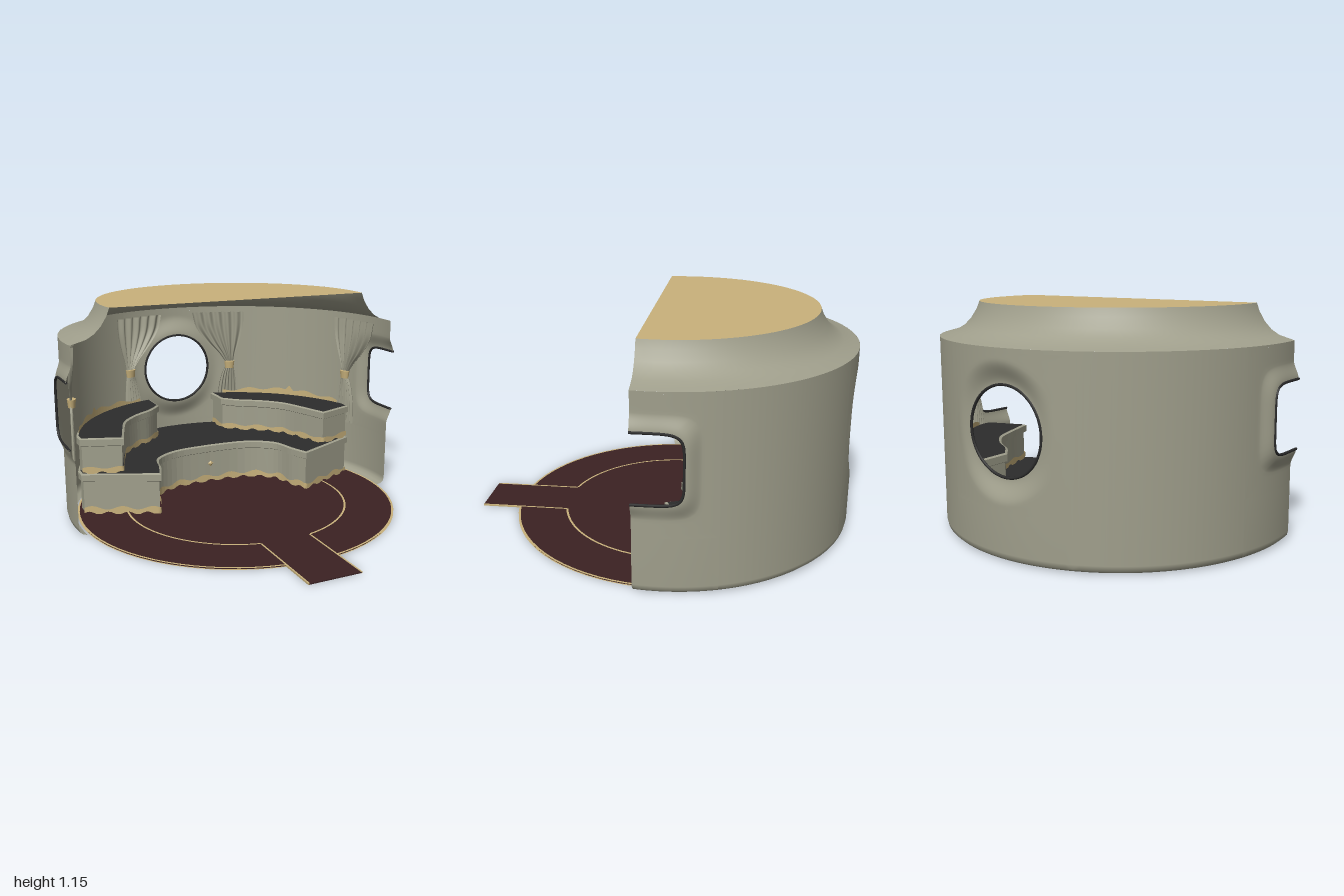
import * as THREE from 'three';

const ZC = -0.07, R = 0.93, CUT = 0.11; // room axis, wall radius, cut plane distance past the axis
const std = (name, color, side = THREE.DoubleSide) =>
  Object.assign(new THREE.MeshStandardMaterial({ color, side }), { name });

// point at angle a around the room (0 = back, PI/2 = left side)
const polar = (a, r, y) => new THREE.Vector3(r * Math.sin(a), y, ZC - r * Math.cos(a));
const cutAngle = r => Math.PI / 2 + Math.asin(CUT / r);
const smooth = t => t * t * (3 - 2 * t);

// surface from a rule fn(u, v) -> Vector3, with u and v in 0..1
function grid(nu, nv, fn) {
  const pos = [], idx = [];
  for (let j = 0; j <= nv; j++)
    for (let i = 0; i <= nu; i++) pos.push(...fn(i / nu, j / nv).toArray());
  for (let j = 0; j < nv; j++)
    for (let i = 0; i < nu; i++) {
      const a = j * (nu + 1) + i, b = a + nu + 1;
      idx.push(a, a + 1, b + 1, a, b + 1, b);
    }
  const g = new THREE.BufferGeometry();
  g.setAttribute('position', new THREE.Float32BufferAttribute(pos, 3));
  g.setIndex(idx);
  g.computeVertexNormals();
  return g;
}

// mirrored copy across x with the corner order restored
function mirrored(geo) {
  const g = geo.clone().scale(-1, 1, 1);
  if (!g.index) g.setIndex([...Array(g.attributes.position.count).keys()]);
  const ix = g.index.array;
  for (let i = 0; i < ix.length; i += 3) [ix[i], ix[i + 2]] = [ix[i + 2], ix[i]];
  return g;
}

// evenly subdivided polyline
function subdivide(pts, n) {
  const out = [];
  for (let k = 0; k < pts.length - 1; k++)
    for (let i = 0; i < n; i++) out.push(pts[k].clone().lerp(pts[k + 1], i / n));
  out.push(pts.at(-1).clone());
  return out;
}
const V2 = (x, y) => new THREE.Vector2(x, y);
const spline = (pts, n) => new THREE.SplineCurve(pts.map(p => V2(...p))).getPoints(n);

export function createModel() {
  const root = new THREE.Group();
  root.name = 'roundRoom';
  const wall = std('stoneGrey', 0xa09f8c), gold = std('gold', 0xc9b27c);
  const red = std('darkRed', 0x3b2223), dark = std('charcoal', 0x2c2c2c);

  const add = (name, geo, mat, both = false) => {
    const m = new THREE.Mesh(geo, mat);
    m.name = name;
    root.add(m);
    if (both) add(name + 'Mirror', mirrored(geo), mat);
  };

  // ---- floor with gold lines and aisle
  add('floor', new THREE.CylinderGeometry(0.87, 0.87, 0.006, 64).translate(0, 0.004, ZC), red);
  add('aisle', new THREE.BoxGeometry(0.28, 0.006, 0.6).translate(0, 0.004, 0.7), red);
  for (const r of [0.61, 0.87]) {
    const gap = Math.asin(0.14 / r);
    for (const y of [0, 0.0085])
      add('floorLine', new THREE.RingGeometry(r - 0.006, r + 0.005, 72, 1, -Math.PI / 2 + gap, 2 * Math.PI - 2 * gap)
        .rotateX(-Math.PI / 2).translate(0, y, ZC), gold);
  }
  add('aisleLine', new THREE.BoxGeometry(0.008, 0.0085, 0.475).translate(0.138, 0.0043, 0.7625), gold, true);

  // ---- wall panels between the windows
  const base = [[0.885, 0], [0.91, 0.008], [0.925, 0.022], [R, 0.045]];
  const panel = (a1, a2, y1, y2, both) => {
    const prof = (y1 === 0 ? base : [[R, y1]]).concat([[R, y2]]);
    const n = prof.length - 1;
    add('wall', grid(Math.ceil((a2 - a1) * 30), n, (u, v) => {
      const [r, y] = prof[Math.round(v * n)];
      return polar(a1 + (a2 - a1) * u, r, y);
    }), wall, both);
  };
  const TOP = 0.98, aBack = 0.36 / R, aEnd = cutAngle(R), aSide = Math.PI / 2 + (CUT - 0.4) / R;
  panel(aBack, aSide, 0, TOP, true);
  panel(-aBack, aBack, 0, 0.24);
  panel(-aBack, aBack, 0.96, TOP);
  panel(aSide, aEnd, 0, 0.29, true);
  panel(aSide, aEnd, 0.97, TOP, true);

  // ---- windows: the wall blends into a flat rim around each opening
  function windowPatch(name, { a0, uc, yc, W, H, hole, frame, n, depth, half }) {
    const edge = subdivide(half
      ? [V2(0, -H), V2(-W, -H), V2(-W, H), V2(0, H)]
      : [V2(W, 0), V2(W, H), V2(-W, H), V2(-W, -H), V2(W, -H), V2(W, 0)], 16);
    const along = (p, [w, h]) => {
      const d = p.clone().normalize();
      return d.multiplyScalar((Math.abs(d.x / w) ** n + Math.abs(d.y / h) ** n) ** (-1 / n));
    };
    const T = new THREE.Vector3(Math.cos(a0), 0, Math.sin(a0));
    const N = new THREE.Vector3(Math.sin(a0), 0, -Math.cos(a0));
    const place = (q, flat) => {
      const u = uc + q.x, y = yc + q.y;
      const plane = new THREE.Vector3(0, y, ZC).addScaledVector(T, u).addScaledVector(N, depth);
      return polar(a0 + u / R, R, y).lerp(plane, flat);
    };
    const rows = 14, m = edge.length - 1;
    add(name + 'Surround', grid(m, rows, (u, v) => {
      const p = edge[Math.round(u * m)], s = Math.min(1, v / 0.75);
      const q = along(p, hole).lerp(along(p, frame), s);
      if (v > 0.75) q.lerp(p, (v - 0.75) / 0.25);
      return place(q, 1 - smooth(s));
    }), wall, half);
    const rim = new THREE.CatmullRomCurve3(edge.map(p => place(along(p, hole), 1)));
    add(name + 'Rim', new THREE.TubeGeometry(rim, 120, 0.007, 6), dark, half);
  }
  windowPatch('backWindow', { a0: 0, uc: 0, yc: 0.6, W: 0.36, H: 0.36, hole: [0.212, 0.212],
    frame: [0.33, 0.33], n: 2, depth: 0.89, half: false });
  windowPatch('sideWindow', { a0: Math.PI / 2, uc: CUT, yc: 0.63, W: 0.4, H: 0.34, hole: [0.24, 0.17],
    frame: [0.32, 0.255], n: 6, depth: 0.95, half: true });

  // ---- coved roof and flat ceiling
  const cove = [[R, 0.98], [0.9, 0.988], [0.85, 1.002], [0.81, 1.026], [0.775, 1.062], [0.745, 1.11], [0.73, 1.15]];
  add('roofCove', grid(64, 6, (u, v) => {
    const [r, y] = cove[Math.round(v * 6)];
    return polar((2 * u - 1) * cutAngle(r), r, y);
  }), wall);
  const ext = Math.asin(CUT / 0.73);
  const disc = new THREE.Shape().absarc(0, 0, 0.73, -ext, Math.PI + ext, false);
  add('ceiling', new THREE.ShapeGeometry(disc, 48).rotateX(-Math.PI / 2).translate(0, 1.15, ZC), gold);

  // ---- stepped platforms; outlines use (x, -z)
  const BACK = 0.85;
  const backArc = (x1, x2) => {
    const t1 = Math.acos(x1 / BACK), t2 = Math.acos(x2 / BACK);
    return Array.from({ length: 25 }, (_, i) => {
      const t = t1 + (t2 - t1) * i / 24;
      return V2(BACK * Math.cos(t), -ZC + BACK * Math.sin(t));
    });
  };
  function platform(name, front, back, y0, y1, wave, both) {
    const shape = new THREE.Shape([...back, ...front]);
    const solid = (depth, y, bevel) => new THREE.ExtrudeGeometry(shape, {
      depth, bevelEnabled: bevel, bevelSize: 0.012, bevelThickness: 0.006, bevelSegments: 1,
    }).rotateX(-Math.PI / 2).translate(0, y, 0);
    add(name + 'Body', solid(y1 - y0 - 0.045, y0, false), wall, both);
    add(name + 'Cornice', solid(0.035, y1 - 0.041, true), [dark, wall], both);
    // scalloped gold fringe along the foot
    const pts = subdivide(front, 4), n = pts.length - 1;
    let len = 0;
    const dist = pts.map((p, i) => (len += i ? p.distanceTo(pts[i - 1]) : 0));
    add(name + 'Fringe', grid(n, 1, (u, v) => {
      const i = Math.round(u * n), a = pts[Math.max(0, i - 1)], b = pts[Math.min(n, i + 1)];
      const d = b.clone().sub(a).normalize(), s = Math.sin(dist[i] * 38);
      const y = v ? y0 + 0.022 + wave * s : y0 - 0.008 + 0.008 * Math.sin(dist[i] * 60);
      return new THREE.Vector3(pts[i].x + d.y * 0.008, y, -(pts[i].y - d.x * 0.008));
    }), gold, both);
  }
  const bend = spline([[-0.45, 0.07], [-0.415, 0.17], [-0.37, 0.32], [-0.22, 0.415], [0, 0.435]], 20);
  const leftFront = [...subdivide([V2(-0.82, 0.24), V2(-0.45, 0.07)], 8).slice(0, -1), ...bend];
  const lowerFront = [...leftFront, ...leftFront.slice(0, -1).reverse().map(p => V2(-p.x, p.y))];
  platform('lowerPlatform', lowerFront, backArc(0.82, -0.82), 0.02, 0.235, 0.01, false);

  const upperFront = [V2(0.22, 0.88),
    ...spline([[0.22, 0.74], [0.3, 0.655], [0.41, 0.58], [0.51, 0.47], [0.57, 0.32], [0.62, 0.17]], 24),
    ...subdivide([V2(0.62, 0.17), V2(0.82, 0.24)], 6).slice(1)];
  platform('upperPlatform', upperFront, backArc(0.82, 0.22), 0.245, 0.43, 0.006, true);

  // gold crest along the back of each upper platform
  const crest = backArc(0.81, 0.28);
  add('crest', grid(96, 1, (u, v) => {
    const a = crest[Math.floor(u * 24)], b = crest[Math.min(24, Math.floor(u * 24) + 1)];
    const p = a.clone().lerp(b, (u * 24) % 1);
    const h = 0.012 + 0.02 * Math.sin(Math.PI * u) + 0.008 * Math.sin(u * 26)
      + 0.035 * Math.max(0, 1 - Math.abs(p.x - 0.64) / 0.018);
    return new THREE.Vector3(p.x, v ? 0.432 + h : 0.425, -p.y);
  }), gold, true);
  add('emblem', new THREE.OctahedronGeometry(0.018).scale(1, 1, 0.6).translate(0, 0.12, -0.425), gold);

  // ---- tied curtains: (height, inner edge, outer edge) measured from the window centre
  const drape = new THREE.CatmullRomCurve3([[0.95, 0.11, 0.46], [0.86, 0.135, 0.455], [0.76, 0.21, 0.43],
    [0.67, 0.3, 0.4], [0.61, 0.335, 0.39], [0.55, 0.31, 0.4], [0.44, 0.285, 0.41], [0.31, 0.28, 0.42]]
    .map(p => new THREE.Vector3(...p)));
  const curtain = (name, a0, uc, dir) => {
    add(name, grid(48, 32, (s, t) => {
      const p = drape.getPoint(t), width = p.z - p.y;
      const u = uc + dir * (p.y + width * s);
      const fold = Math.sin(s * Math.PI * 11) * (0.005 + 0.022 * width);
      return polar(a0 + u / R, 0.88 + fold, p.x);
    }), wall, true);
    const a = a0 + (uc + dir * 0.362) / R;
    const c = polar(a, 0.878, 0.61);
    add(name + 'Tie', new THREE.CylinderGeometry(0.034, 0.028, 0.045, 10).scale(1, 1, 0.7)
      .rotateY(-a).translate(c.x, c.y, c.z), gold, true);
  };
  curtain('backCurtain', 0, 0, 1);
  curtain('sideCurtain', Math.PI / 2, CUT, -1);

  return root;
}
